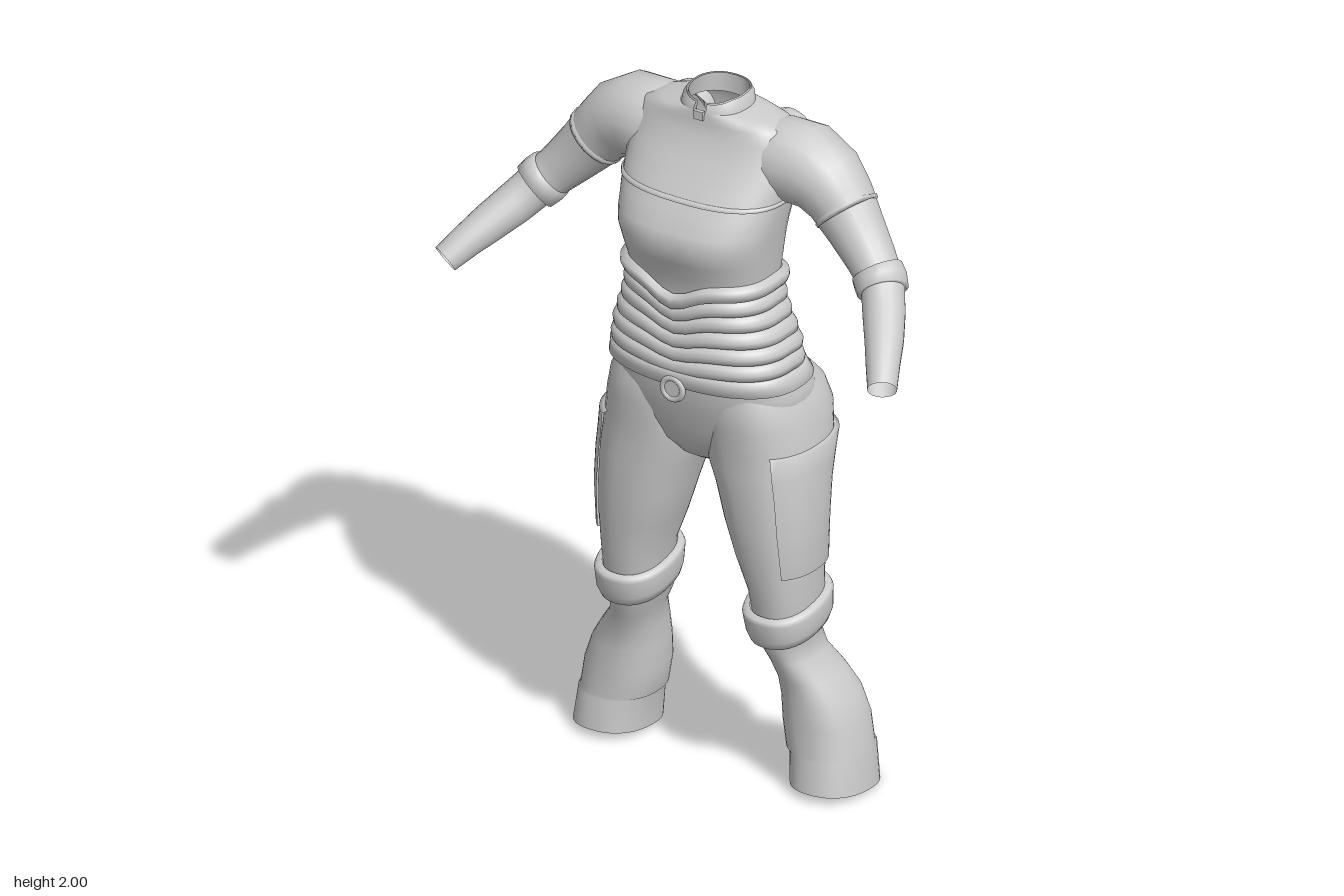
import * as THREE from 'three';

const material = new THREE.MeshStandardMaterial({ color: 0xcccccc, side: THREE.DoubleSide });
const TAU = Math.PI * 2;

// Skin a grid of points; rows run along the form, columns around it
function skin(name, rows, closed, side = 1) {
  const n = rows[0].length, pos = [], index = [];
  rows.forEach(r => r.forEach(p => pos.push(p.x * side, p.y, p.z)));
  for (let i = 0; i < rows.length - 1; i++) {
    for (let j = 0; j < (closed ? n : n - 1); j++) {
      const k = (j + 1) % n;
      const a = i * n + j, b = i * n + k, c = a + n, d = b + n;
      if (side > 0) index.push(a, c, b, b, c, d);
      else index.push(a, b, c, b, d, c);
    }
  }
  const g = new THREE.BufferGeometry();
  g.setAttribute('position', new THREE.Float32BufferAttribute(pos, 3));
  g.setIndex(index);
  g.computeVertexNormals();
  const mesh = new THREE.Mesh(g, material);
  mesh.name = name;
  return mesh;
}

// Outline at height y, from sections [y, xMin, xMax, zBack, zFront]
function outlineAt(sections, y) {
  let i = 0;
  while (i < sections.length - 2 && sections[i + 1][0] < y) i++;
  const a = sections[i], b = sections[i + 1];
  const t = THREE.MathUtils.clamp((y - a[0]) / (b[0] - a[0]), 0, 1);
  return a.map((v, k) => v + (b[k] - v) * t);
}

// Shell around a body; profile is [height, offset] pairs from bottom to top
function shell(name, sections, profile, { p = 2.3, from = 0, to = TAU, warp, side = 1, n = 36 } = {}) {
  const closed = to - from > TAU - 1e-6;
  const power = v => Math.sign(v) * Math.abs(v) ** (2 / p);
  const rows = profile.map(([y, off]) => {
    const [, x0, x1, z0, z1] = outlineAt(sections, y);
    return Array.from({ length: closed ? n : n + 1 }, (_, j) => {
      const a = from + (to - from) * j / n;
      const x = (x0 + x1) / 2 + ((x1 - x0) / 2 + off) * power(Math.cos(a));
      const z = (z0 + z1) / 2 + ((z1 - z0) / 2 + off) * power(Math.sin(a));
      return new THREE.Vector3(x, warp ? warp(x, y, z) : y, z);
    });
  });
  return skin(name, rows, closed, side);
}
const body = (name, sections, options) => shell(name, sections, sections.map(s => [s[0], 0]), options);

// Round limb through stations [x, y, z, radius]
function limb(name, stations, side, n = 18) {
  const pts = stations.map(s => new THREE.Vector3(s[0], s[1], s[2]));
  const rows = pts.map((c, i) => {
    const t = pts[Math.min(i + 1, pts.length - 1)].clone().sub(pts[Math.max(i - 1, 0)]).normalize();
    const u = new THREE.Vector3(0, 0, 1).cross(t).normalize();
    const v = u.clone().cross(t);
    return Array.from({ length: n }, (_, j) => c.clone()
      .addScaledVector(u, stations[i][3] * Math.cos(j / n * TAU))
      .addScaledVector(v, stations[i][3] * Math.sin(j / n * TAU)));
  });
  return skin(name, rows, true, side);
}

const symmetric = list => list.map(([y, h, zb, zf]) => [y, -h, h, zb, zf]);

const torso = symmetric([
  [1.2, .275, -.185, .165], [1.25, .255, -.15, .165], [1.32, .245, -.15, .165], [1.4, .218, -.13, .16],
  [1.47, .2, -.122, .165], [1.53, .21, -.132, .178], [1.58, .216, -.142, .2], [1.63, .224, -.148, .216],
  [1.67, .23, -.152, .205], [1.72, .238, -.156, .175], [1.78, .246, -.162, .135], [1.84, .252, -.166, .09],
  [1.9, .245, -.162, .058], [1.935, .215, -.15, .052], [1.952, .16, -.14, .05], [1.965, .095, -.13, .048]]);

const hips = symmetric([
  [.925, .035, -.09, .03], [.95, .09, -.15, .07], [1, .17, -.19, .11], [1.06, .25, -.208, .13],
  [1.12, .285, -.21, .147], [1.18, .285, -.2, .16], [1.25, .262, -.16, .165]]);

const leg = [
  [0, .237, .45, -.215, .05], [.115, .228, .44, -.212, .036], [.12, .216, .436, -.208, .032],
  [.2, .203, .424, -.208, .03], [.27, .203, .398, -.198, .03], [.33, .2, .36, -.175, .034],
  [.39, .194, .314, -.145, .055], [.44, .168, .302, -.138, .07], [.5, .155, .318, -.135, .085],
  [.6, .145, .32, -.135, .102], [.7, .105, .326, -.14, .115], [.8, .073, .326, -.15, .125],
  [.9, .043, .324, -.172, .128], [.96, .016, .32, -.2, .13], [1.02, .006, .315, -.228, .132],
  [1.09, .006, .304, -.243, .14], [1.15, .012, .288, -.224, .142], [1.2, .03, .26, -.18, .13]];

const arm = [
  [.12, 1.83, -.06, .1], [.2, 1.832, -.065, .118], [.27, 1.835, -.066, .116], [.33, 1.805, -.068, .105],
  [.375, 1.76, -.064, .092], [.43, 1.695, -.052, .079], [.49, 1.63, -.034, .068], [.545, 1.575, -.006, .06],
  [.585, 1.528, .05, .058], [.625, 1.485, .11, .053], [.66, 1.445, .17, .046], [.692, 1.405, .222, .04]];

export function createModel() {
  const model = new THREE.Group();
  model.name = 'suit';
  const add = mesh => (model.add(mesh), mesh);

  add(body('torso', torso, { p: 2.5, n: 48 }));
  add(body('hips', hips, { p: 2.4, n: 48 }));
  add(shell('chestSeam', torso, [[1.742, 0], [1.744, .005], [1.752, .005], [1.754, 0]], { p: 2.5, n: 48 }));

  // Overlapping waist bands dip in a V at the front and sag at the back
  for (let i = 0; i < 6; i++) {
    const y = 1.25 + i * .046, out = i === 5 ? .02 : .015;
    const dip = .012 + .007 * i;
    const warp = (x, h, z) => h - (z > 0 ? dip * Math.exp(-((x / .075) ** 2)) : .16 * Math.min(-z, .13));
    add(shell('waistBand', torso, [[y, 0], [y + .003, out], [y + .02, out + .004], [y + .036, out], [y + .045, 0]],
      { p: 2.5, warp, n: 60 }));
  }

  // Belt and round buckle
  add(shell('belt', torso, [[1.2, .002], [1.203, .014], [1.225, .016], [1.248, .02], [1.252, 0]], { p: 2.4, n: 48 }));
  const buckle = add(new THREE.Mesh(new THREE.TorusGeometry(.031, .009, 8, 24), material));
  buckle.position.set(0, 1.195, .178);
  buckle.name = 'buckle';
  const boss = add(new THREE.Mesh(new THREE.CylinderGeometry(.03, .03, .02, 24), material));
  boss.rotation.x = Math.PI / 2;
  boss.position.set(0, 1.195, .172);
  boss.name = 'buckleCentre';

  // Collar, split at the front, with a small zip pull
  const gap = .16;
  for (const off of [0, -.012]) {
    add(shell('collar', symmetric([[1.945, .1, -.135, .052], [2, .088, -.138, .046]]),
      [[1.945, off], [1.965, off], [1.985, off], [2, off - (off ? 0 : .006)]],
      { from: Math.PI / 2 + gap, to: Math.PI / 2 + TAU - gap, warp: (x, y, z) => y - (z > 0 ? (y - 1.945) * z * 6 : 0) }));
  }
  const zip = add(new THREE.Mesh(new THREE.BoxGeometry(.03, .025, .012), material));
  zip.position.set(0, 1.957, .052);
  zip.name = 'zipPull';

  // Raised disc for the back
  const disc = new THREE.LatheGeometry([[0, .018], [.014, .018], [.018, .01], [.034, .01], [.038, .024], [.05, .03],
    [.062, .026], [.07, .012], [.07, -.03]].reverse().map(([r, h]) => new THREE.Vector2(r, h)), 24);

  for (const side of [1, -1]) {
    // Trouser leg and boot, with a slanting sole opening
    add(body('leg', leg, { side, warp: (x, y, z) => y + Math.max(0, .1 - y) * (z + .215) * .9 }));

    // Slanted knee cuff, higher at the back
    add(shell('kneeCuff', leg, [[.472, 0], [.474, .017], [.5, .021], [.55, .022], [.562, .016], [.565, 0]],
      { side, warp: (x, y, z) => y - .02 * THREE.MathUtils.clamp((z + .02) / .1, -1.6, 1.3) }));

    // Side pocket on the outer thigh
    add(shell('pocket', leg, [[.665, 0], [.668, .009], [.8, .011], [.9, .011], [.96, .012], [1.018, .014], [1.022, 0]],
      { side, from: -1.15, to: .95, n: 18 }));

    // Sleeve and the rolled band at the elbow
    add(limb('sleeve', arm, side));
    add(limb('elbowBand', [[.515, 1.607, -.022, .058], [.517, 1.605, -.021, .071], [.535, 1.586, -.011, .073],
      [.552, 1.567, .004, .07], [.554, 1.565, .006, .056]], side));
    add(limb('sleeveHem', [[.392, 1.74, -.0605, .085], [.393, 1.739, -.06, .0915], [.4, 1.731, -.0585, .09],
      [.401, 1.73, -.058, .083]], side));

    const badge = add(new THREE.Mesh(disc, material));
    badge.position.set(.155 * side, 1.86, -.158);
    badge.quaternion.setFromUnitVectors(new THREE.Vector3(0, 1, 0), new THREE.Vector3(.12 * side, .3, -1).normalize());
    badge.name = 'backDisc';
  }
  return model;
}
